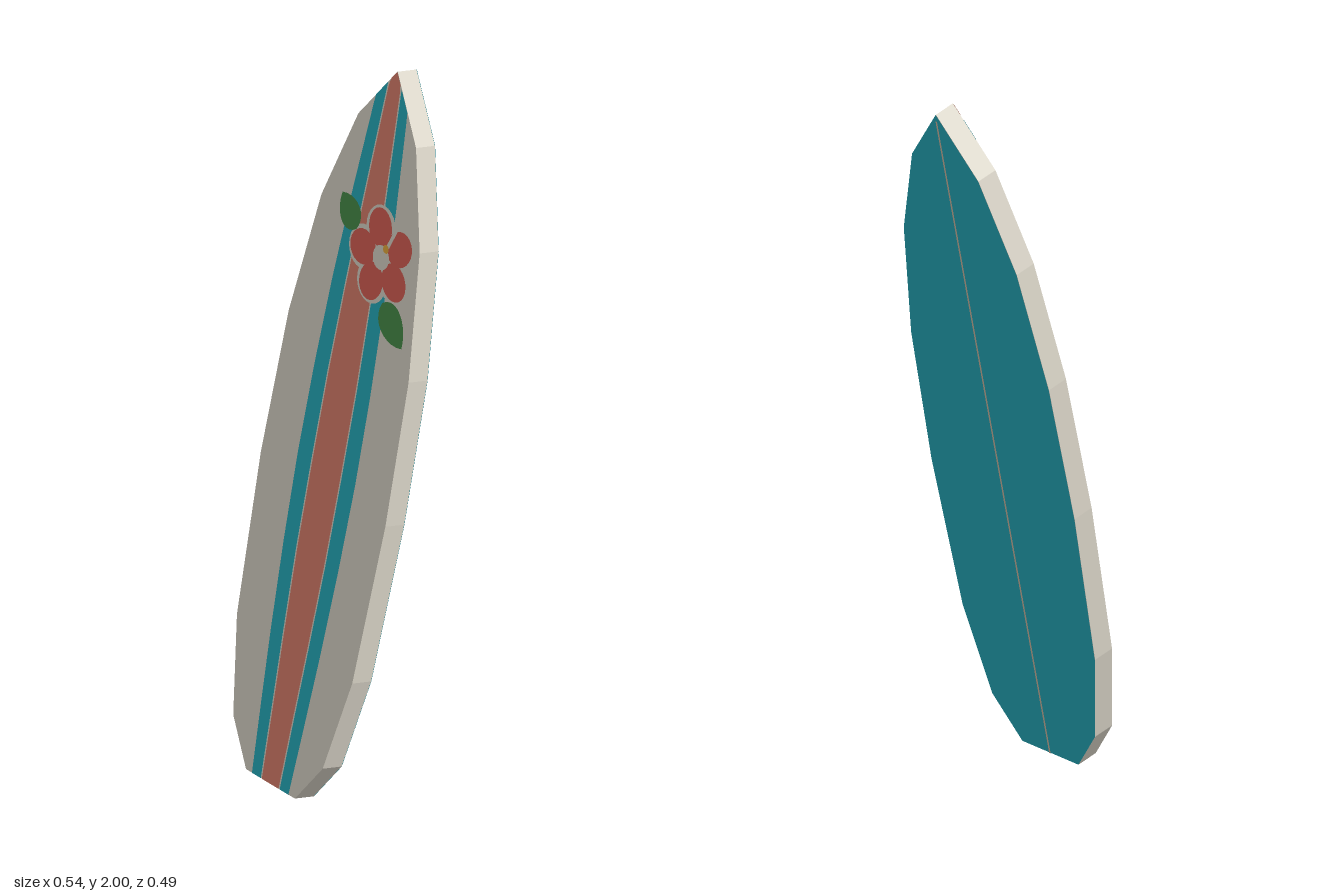
import * as THREE from 'three';

const paint = (name, color) => {
  const m = new THREE.MeshStandardMaterial({ color });
  m.name = name;
  return m;
};

const LENGTH = 2.031, THICK = 0.064, TILT = 0.21;

// Half widths [distance from tail, half width] along the board
const OUTLINE = [[0, 0.106], [0.12, 0.194], [0.385, 0.25], [0.84, 0.27], [1.247, 0.26],
  [1.597, 0.213], [1.863, 0.125], [LENGTH, 0]];
const CENTRE_STRIPE = [[0, 0.036], [0.2, 0.043], [0.4, 0.051], [0.65, 0.059], [0.9, 0.061],
  [1.15, 0.06], [1.4, 0.053], [1.65, 0.042], [1.9, 0.029], [LENGTH, 0.022]];
const SIDE_STRIPE = [[0, 0.079], [0.2, 0.093], [0.4, 0.106], [0.65, 0.118], [0.9, 0.124],
  [1.15, 0.121], [1.4, 0.111], [1.65, 0.094], [1.9, 0.072], [LENGTH, 0.06]];

// Linear lookup in a half-width profile
function widthAt(profile, s) {
  let i = 0;
  while (i < profile.length - 2 && s > profile[i + 1][0]) i++;
  const [a, wa] = profile[i], [b, wb] = profile[i + 1];
  return wa + (wb - wa) * (s - a) / (b - a);
}

const shapeOf = pts => new THREE.Shape(pts.map(([x, y]) => new THREE.Vector2(x, y)));

// Band between two half-width functions, clipped to the board outline
function bandShape(inner, outer, end) {
  const near = [], far = [];
  for (let i = 0; i <= 80; i++) {
    const s = end * i / 80;
    const limit = Math.max(widthAt(OUTLINE, s), 0);
    far.push([Math.min(outer(s), limit), s]);
    near.push([Math.min(inner(s), limit), s]);
  }
  return shapeOf([...far, ...near.reverse()]);
}

// Leaf from base to tip, with the given half width
function leafShape(bx, by, tx, ty, w) {
  const dx = tx - bx, dy = ty - by, l = Math.hypot(dx, dy), nx = -dy / l * w, ny = dx / l * w;
  const s = new THREE.Shape();
  s.moveTo(bx, by);
  s.bezierCurveTo(bx + dx * 0.1 - nx * 1.4, by + dy * 0.1 - ny * 1.4,
    bx + dx * 0.7 - nx * 1.3, by + dy * 0.7 - ny * 1.3, tx, ty);
  s.bezierCurveTo(bx + dx * 0.7 + nx * 1.3, by + dy * 0.7 + ny * 1.3,
    bx + dx * 0.1 + nx * 1.4, by + dy * 0.1 + ny * 1.4, bx, by);
  return s;
}

export function createModel() {
  const cream = paint('cream', 0xdad5c8);
  const teal = paint('teal', 0x25adbd);
  const coral = paint('coral', 0xdb7f6b);
  const red = paint('petal red', 0xd95f54);
  const green = paint('leaf green', 0x478d49);
  const yellow = paint('pollen yellow', 0xf0b040);
  const tan = paint('stringer tan', 0xd2bda6);

  const model = new THREE.Group();
  model.name = 'surfboard';
  const board = new THREE.Group();
  board.name = 'leaningBoard';
  board.rotation.x = -TILT;
  board.position.set(0, 0.0135, 0.243);
  model.add(board);

  const add = (name, geometry, material, z = 0, parent = board) => {
    const mesh = new THREE.Mesh(geometry, material);
    mesh.name = name;
    mesh.position.z = z;
    parent.add(mesh);
    return mesh;
  };
  const flat = shape => new THREE.ShapeGeometry(shape, 10);

  // Foam core with faceted rails
  const outline = shapeOf([...OUTLINE.map(([s, w]) => [w, s]),
    ...OUTLINE.slice(0, -1).reverse().map(([s, w]) => [-w, s])]);
  add('core', new THREE.ExtrudeGeometry(outline, { depth: THICK, bevelEnabled: false }), cream, -THICK);

  // Painted underside and its stringer line
  add('undersidePanel', flat(outline), teal, -THICK - 0.001).rotation.y = Math.PI;
  add('stringer', new THREE.PlaneGeometry(0.006, LENGTH - 0.02).translate(0, LENGTH / 2 - 0.01, 0),
    tan, -THICK - 0.003).rotation.y = Math.PI;

  // Deck stripes
  const centre = s => widthAt(CENTRE_STRIPE, s);
  add('centreStripe', flat(bandShape(s => -Math.min(centre(s), Math.max(widthAt(OUTLINE, s), 0)),
    centre, LENGTH - 0.002)), coral, 0.001);
  for (const side of [1, -1]) {
    const shape = bandShape(s => centre(s) + 0.005, s => widthAt(SIDE_STRIPE, s), 1.99);
    if (side < 0) shape.curves.forEach(c => { c.v1.x *= -1; c.v2.x *= -1; });
    add(side > 0 ? 'leftStripe' : 'rightStripe', flat(shape), teal, 0.001);
  }

  // Flower with pale halo, five petals, pale eye and pistil
  const flower = new THREE.Group();
  flower.name = 'flower';
  flower.position.set(0.072, 1.53, 0);
  board.add(flower);
  add('halo', new THREE.CircleGeometry(0.09, 32), cream, 0.003, flower);
  for (let i = 0; i < 5; i++) {
    const a = Math.PI * (0.2 + 0.4 * i), x = Math.cos(a) * 0.08, y = Math.sin(a) * 0.08;
    add('petalHalo', new THREE.CircleGeometry(0.061, 24).translate(x, y, 0), cream, 0.003, flower);
    const petal = new THREE.CircleGeometry(0.048, 24).scale(1.12, 1, 1).rotateZ(a).translate(x, y, 0);
    add('petal', petal, red, 0.005, flower);
  }
  add('eye', new THREE.CircleGeometry(0.034, 20), cream, 0.007, flower);
  add('pistil', new THREE.PlaneGeometry(0.012, 0.1).rotateZ(-0.38).translate(0.036, 0.08, 0), cream, 0.006, flower);
  add('pollen', new THREE.CircleGeometry(0.012, 12).translate(0.016, 0.03, 0), yellow, 0.009, flower);

  // Leaves
  add('upperLeaf', flat(leafShape(-0.045, 1.565, -0.125, 1.64, 0.043)), green, 0.006);
  add('lowerLeaf', flat(leafShape(0.108, 1.415, 0.215, 1.325, 0.047)), green, 0.006);

  // Side-independent visibility for the thin decals
  [teal, coral, red, green, yellow, tan].forEach(m => { m.side = THREE.DoubleSide; });
  return model;
}
